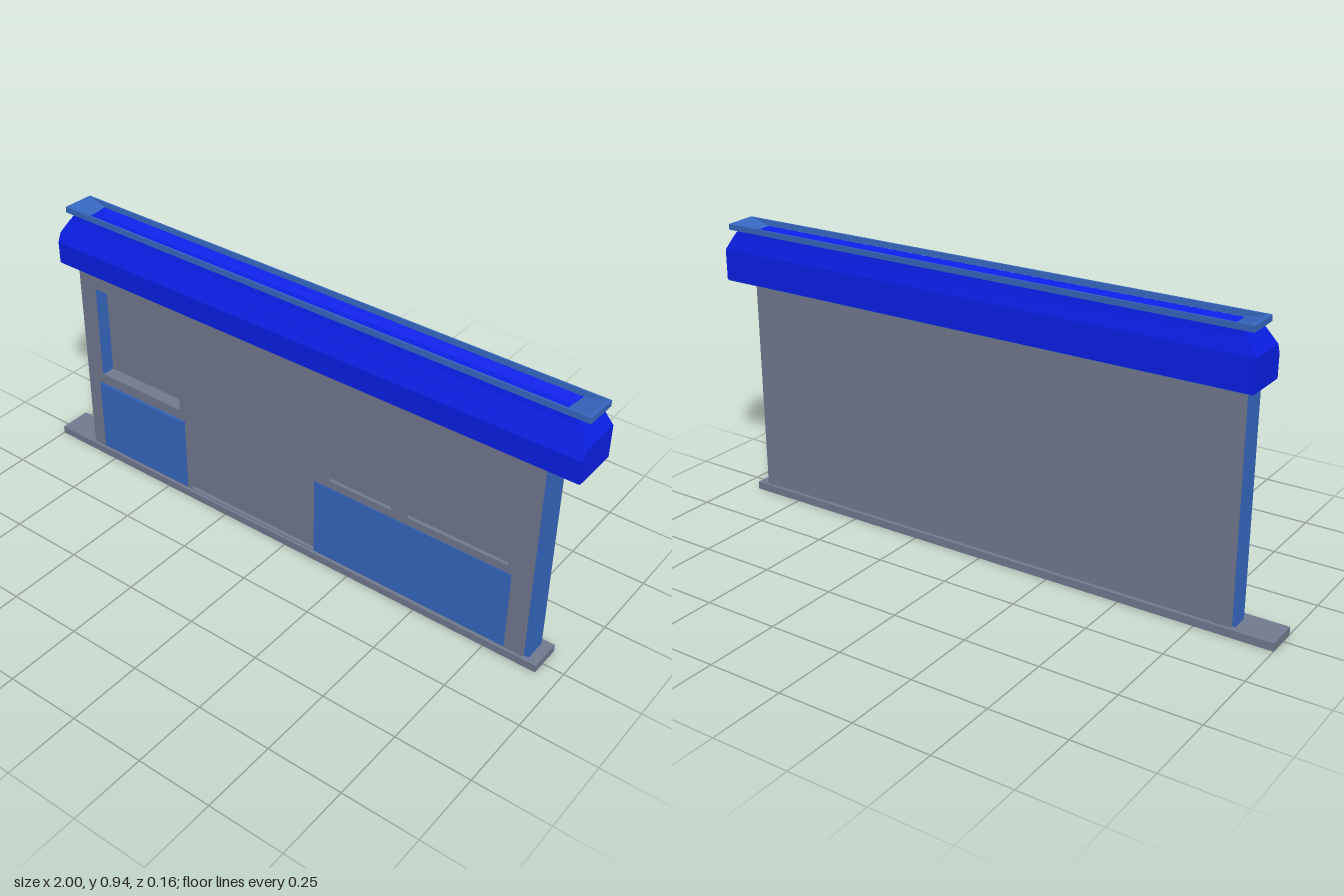
import * as THREE from 'three';

const grey = new THREE.MeshStandardMaterial({ color: 0x727a8f });
grey.name = 'grey';
const steelBlue = new THREE.MeshStandardMaterial({ color: 0x3667c0 });
steelBlue.name = 'steel blue';
const royalBlue = new THREE.MeshStandardMaterial({ color: 0x0a1fe6 });
royalBlue.name = 'royal blue';

export function createModel() {
  const model = new THREE.Group();

  function add(name, geometry, material) {
    const mesh = new THREE.Mesh(geometry, material);
    mesh.name = name;
    model.add(mesh);
    return mesh;
  }

  // Box given by its limits on each axis
  function box(name, material, [x0, x1], [y0, y1], [z0, z1]) {
    const mesh = add(name, new THREE.BoxGeometry(x1 - x0, y1 - y0, z1 - z0), material);
    mesh.position.set((x0 + x1) / 2, (y0 + y1) / 2, (z0 + z1) / 2);
  }

  // Rectangle outline, usable as shape or hole
  function rect(Type, [x0, x1, y0, y1]) {
    const path = new Type();
    path.moveTo(x0, y0);
    path.lineTo(x1, y0);
    path.lineTo(x1, y1);
    path.lineTo(x0, y1);
    path.closePath();
    return path;
  }

  // Upright plate with rectangular openings
  function plate(name, material, outline, holes, z, depth) {
    const shape = rect(THREE.Shape, outline);
    shape.holes = holes.map((h) => rect(THREE.Path, h));
    const geometry = new THREE.ExtrudeGeometry(shape, { depth, bevelEnabled: false });
    geometry.translate(0, 0, z);
    add(name, geometry, material);
  }

  // Skin over rectangular rings [x0, x1, z0, z1, y]; a loop joins the last ring to the first
  function loft(name, material, rings, loop = false) {
    const points = [];
    const corners = rings.map(([x0, x1, z0, z1, y]) =>
      [[x0, y, z1], [x1, y, z1], [x1, y, z0], [x0, y, z0]]);
    const quad = (a, b, c, d) => points.push(...a, ...b, ...c, ...a, ...c, ...d);
    const last = corners.length - 1;
    for (let i = 0; i < (loop ? last + 1 : last); i++) {
      const lower = corners[i], upper = corners[(i + 1) % corners.length];
      for (let j = 0; j < 4; j++) {
        const k = (j + 1) % 4;
        quad(lower[j], lower[k], upper[k], upper[j]);
      }
    }
    if (!loop) {
      quad(...corners[last]);
      quad(...[...corners[0]].reverse());
    }
    const geometry = new THREE.BufferGeometry();
    geometry.setAttribute('position', new THREE.Float32BufferAttribute(points, 3));
    geometry.computeVertexNormals();
    return add(name, geometry, material);
  }

  // Base sill, longer at one end
  box('baseSill', grey, [-1, 0.93], [0, 0.026], [-0.066, 0.045]);

  // Front wall with window and door openings; the first window is set deeper
  const deepWindow = [-0.785, -0.44, 0.335, 0.665];
  const openings = [
    deepWindow,
    [0.165, 0.397, 0.335, 0.665],
    [0.453, 0.80, 0.335, 0.665],
    [-0.405, 0.112, 0.03, 0.675],
  ];
  const wallOutline = [-0.852, 0.88, 0.026, 0.75];
  plate('frontWall', grey, wallOutline, openings, 0.023, 0.012);
  plate('wallBody', grey, wallOutline, [deepWindow], -0.01, 0.033);
  box('windowReveal', steelBlue, [-0.786, -0.781], [0.335, 0.665], [-0.01, 0.0345]);

  // Back wall with a shallow frame on three sides
  box('backWall', grey, [-0.862, 0.892], [0.026, 0.75], [-0.053, -0.01]);
  box('backFrameTop', grey, [-0.862, 0.892], [0.70, 0.75], [-0.056, -0.053]);
  for (const x of [[-0.862, -0.81], [0.83, 0.892]]) {
    box('backFrameSide', grey, x, [0.026, 0.70], [-0.056, -0.053]);
  }

  // Blue end boards
  box('endBoardRight', steelBlue, [-0.872, -0.85], [0.026, 0.75], [-0.046, 0.012]);
  box('endBoardLeft', steelBlue, [0.875, 0.896], [0.026, 0.75], [-0.046, 0.028]);

  // Lower front panels and ledge
  box('lowerPanelRight', steelBlue, [-0.80, -0.42], [0.03, 0.298], [0.032, 0.037]);
  box('lowerPanelLeft', steelBlue, [0.112, 0.815], [0.03, 0.308], [0.032, 0.037]);
  box('panelLedge', steelBlue, [-0.79, -0.43], [0.286, 0.296], [0.036, 0.042]);

  // Roof fascia with tapered sides and a hollowed top
  loft('roofFascia', royalBlue, [
    [-0.89, 1.00, -0.077, 0.078, 0.747],
    [-0.89, 1.00, -0.077, 0.078, 0.82],
    [-0.89, 1.00, -0.077, 0.0653, 0.85],
    [-0.86, 0.97, -0.065, 0.045, 0.898],
    [-0.845, 0.955, -0.062, 0.040, 0.916],
    [-0.80, 0.91, -0.058, 0.036, 0.916],
    [-0.79, 0.90, -0.030, 0.008, 0.90],
  ]);
  box('roofSoffit', steelBlue, [-0.885, 0.995], [0.744, 0.748], [-0.074, 0.075]);

  // Slightly tilted rim around the top, sloping inward at its ends
  const rim = loft('roofRim', steelBlue, [
    [-0.876, 0.992, -0.063, 0.045, -0.009],
    [-0.876, 0.992, -0.063, 0.045, 0.010],
    [-0.865, 0.98, -0.058, 0.039, 0.010],
    [-0.80, 0.91, -0.057, 0.037, -0.009],
  ], true);
  rim.position.y = 0.925;
  rim.rotation.x = -0.03;

  return model;
}
